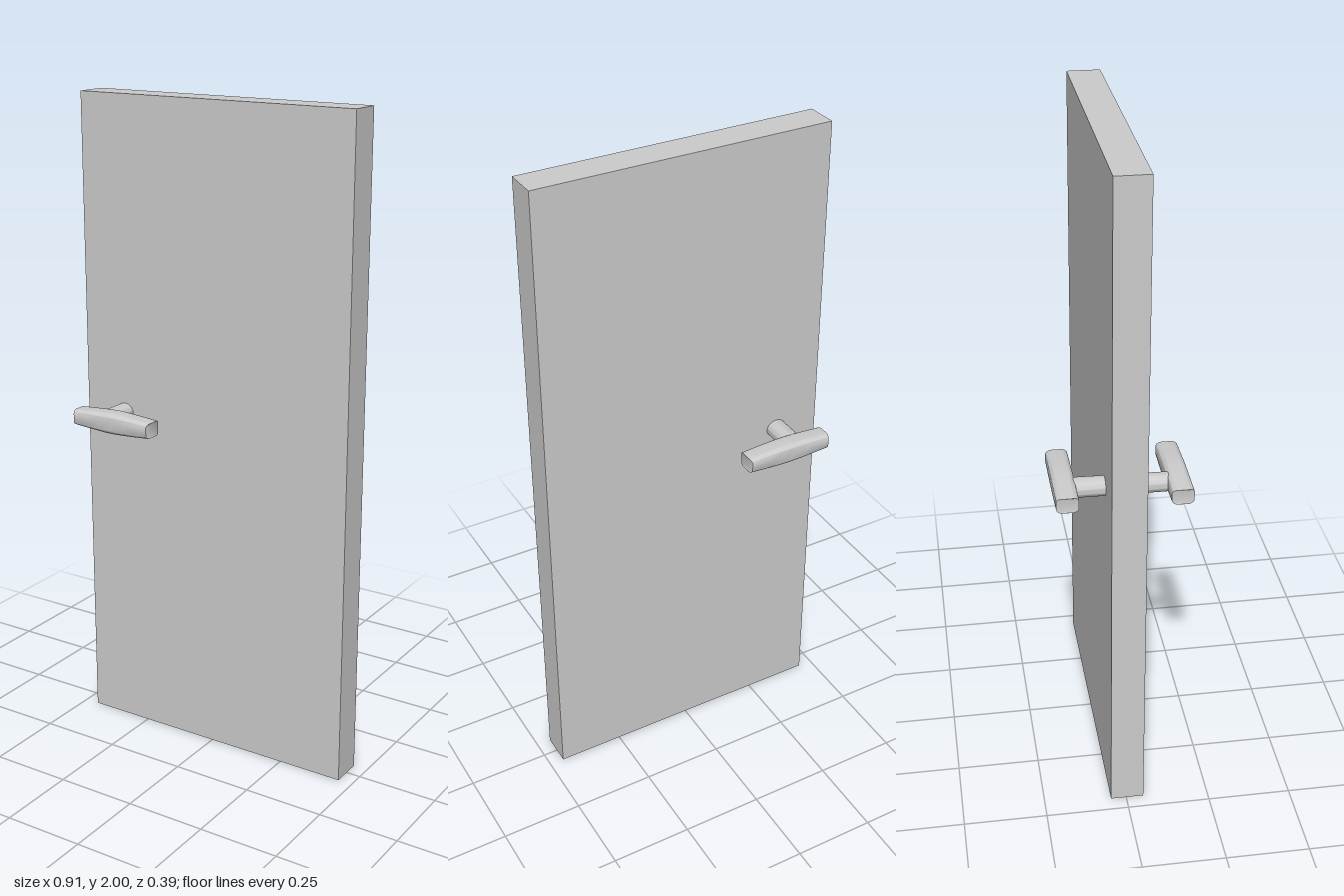
import * as THREE from 'three';
import { toCreasedNormals } from 'three/addons/utils/BufferGeometryUtils.js';

const material = new THREE.MeshStandardMaterial({ color: 0xcccccc });

function addMesh(parent, name, geometry, x, y, z) {
  const mesh = new THREE.Mesh(geometry, material);
  mesh.name = name;
  mesh.position.set(x, y, z);
  parent.add(mesh);
  return mesh;
}

// Moves every vertex of a geometry by a rule
function reshape(geometry, rule) {
  const p = geometry.attributes.position;
  const v = new THREE.Vector3();
  for (let i = 0; i < p.count; i++) {
    rule(v.fromBufferAttribute(p, i));
    p.setXYZ(i, v.x, v.y, v.z);
  }
  geometry.computeVertexNormals();
  return geometry;
}

// Rounded bar along x, thickest in the middle, with slightly domed ends
function gripGeometry() {
  const length = 0.278, h = 0.032, r = 0.016;
  const section = new THREE.Shape();
  const corners = [[1, -1, -90], [1, 1, 0], [-1, 1, 90], [-1, -1, 180]];
  for (const [sx, sy, start] of corners) {
    const a = THREE.MathUtils.degToRad(start);
    section.absarc(sx * (h - r), sy * (h - r), r, a, a + Math.PI / 2, false);
  }
  const bar = new THREE.ExtrudeGeometry(section, {
    depth: length, steps: 12, bevelEnabled: false, curveSegments: 6,
  });
  bar.translate(0, 0, -length / 2).rotateY(Math.PI / 2);
  reshape(bar, (v) => {
    const t = Math.abs(v.x) / (length / 2);
    v.y *= 1 - 0.28 * Math.pow(t, 1.4);
    v.x *= 1 - 0.04 * (v.z / h) ** 2;
  });
  return toCreasedNormals(bar, 0.6);
}

// Spindle through the door, a little wider in x towards the back
function spindleGeometry() {
  const r = 0.028, length = 0.29;
  const rod = new THREE.CylinderGeometry(r, r, length, 32).rotateX(Math.PI / 2);
  reshape(rod, (v) => {
    const widen = 0.0055 - 0.038 * v.z;
    v.x += widen * (v.x + r) / (2 * r);
  });
  return toCreasedNormals(rod, 0.6);
}

export function createModel() {
  const model = new THREE.Group();
  model.name = 'door';

  addMesh(model, 'doorPanel', new THREE.BoxGeometry(0.91, 2, 0.1), 0, 1, 0.003);

  // Lever handle on both faces
  const handle = new THREE.Group();
  handle.name = 'handle';
  model.add(handle);
  addMesh(handle, 'spindle', spindleGeometry(), -0.318, 1.04, 0);
  const grip = gripGeometry();
  addMesh(handle, 'frontGrip', grip, -0.274, 1.042, 0.161);
  addMesh(handle, 'backGrip', grip, -0.274, 1.042, -0.163);

  return model;
}
